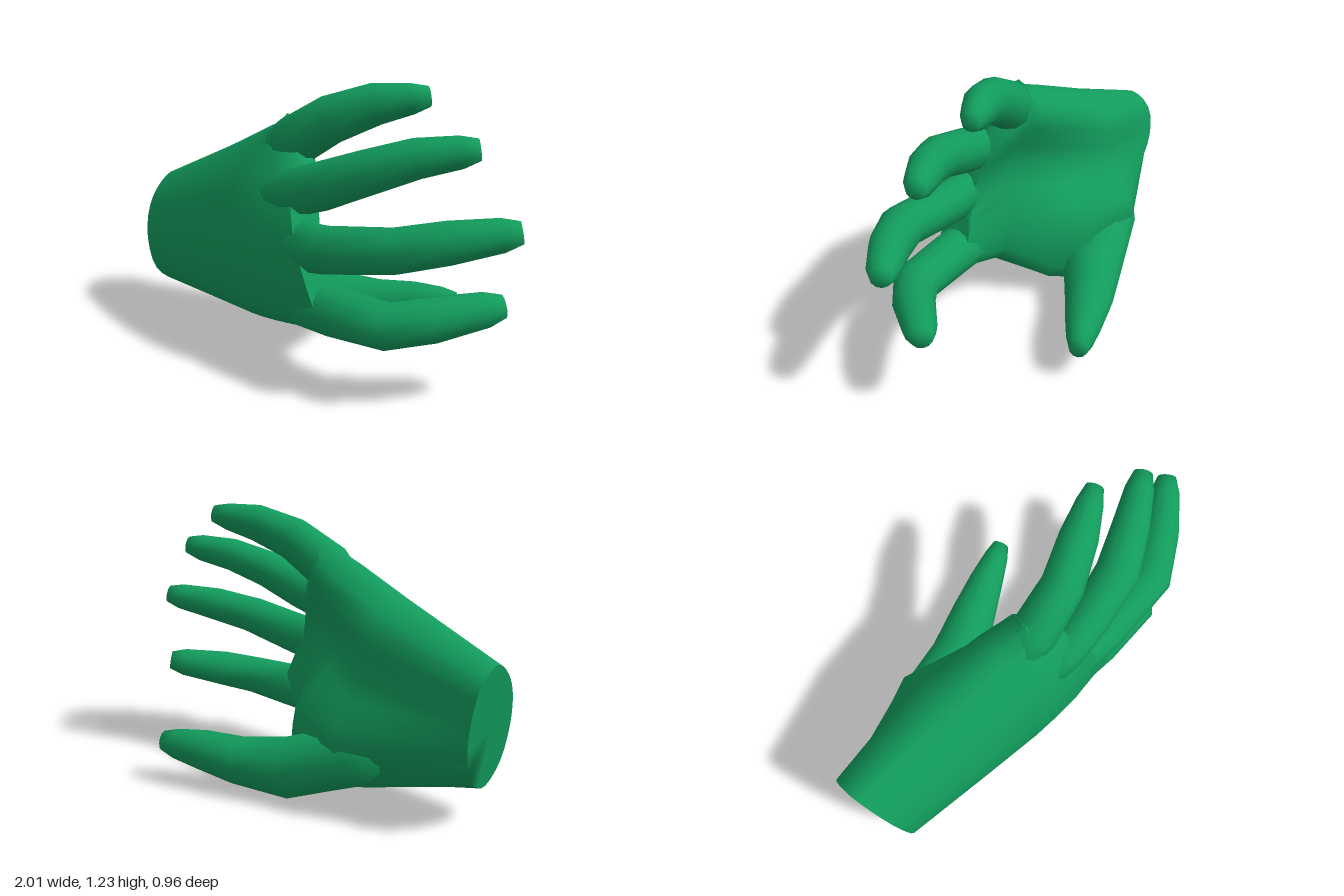
import * as THREE from 'three';
import { toCreasedNormals } from 'three/addons/utils/BufferGeometryUtils.js';

// Skin a list of rings (arrays of Vector3, counter-clockwise about the travel direction), closing both ends
function loft(rings, crease) {
  const pos = [];
  const n = rings[0].length;
  const tri = (...pts) => pts.forEach((p) => pos.push(p.x, p.y, p.z));
  const centre = (ring) => ring.reduce((s, p) => s.add(p), new THREE.Vector3()).divideScalar(n);
  const first = rings[0];
  const last = rings[rings.length - 1];
  const c0 = centre(first);
  const c1 = centre(last);
  for (let j = 0; j < n; j++) {
    const k = (j + 1) % n;
    for (let i = 0; i < rings.length - 1; i++) {
      const a = rings[i][j], b = rings[i][k], c = rings[i + 1][k], d = rings[i + 1][j];
      tri(a, b, d);
      tri(b, c, d);
    }
    tri(c0, first[k], first[j]);
    tri(c1, last[j], last[k]);
  }
  const geo = new THREE.BufferGeometry();
  geo.setAttribute('position', new THREE.Float32BufferAttribute(pos, 3));
  return toCreasedNormals(geo, crease);
}

// Station beyond a, on the line from b through a, with scaled radii
function extend(a, b, dist, scale) {
  const p = new THREE.Vector3(...a);
  p.addScaledVector(p.clone().sub(new THREE.Vector3(...b)).normalize(), dist);
  return [p.x, p.y, p.z, a[3] * scale, a[4] * scale];
}

// A digit from stations [x, y, z, half height, half depth], with a tapered root inside the palm and a blunt tip
function digit(joints, sides = 12) {
  const root = extend(joints[0], joints[1], 0.17, 0.55);
  const tip = extend(joints[joints.length - 1], joints[joints.length - 2], 0.07, 0.66);
  const stations = [root, ...joints, tip];
  const centres = stations.map((s) => new THREE.Vector3(s[0], s[1], s[2]));
  const rings = stations.map((s, i) => {
    const t = centres[Math.min(i + 1, centres.length - 1)].clone()
      .sub(centres[Math.max(i - 1, 0)]).normalize();
    const u = new THREE.Vector3(0, 1, 0).addScaledVector(t, -t.y).normalize();
    const v = new THREE.Vector3().crossVectors(t, u);
    return Array.from({ length: sides }, (_, j) => {
      const a = (j / sides) * Math.PI * 2;
      return centres[i].clone()
        .addScaledVector(u, Math.cos(a) * s[3])
        .addScaledVector(v, Math.sin(a) * s[4]);
    });
  });
  return loft(rings, 1.6);
}

// Palm cross-sections: [y, z] points from the index edge over the back to the little-finger edge and round the palm.
// Each section is a plane at x, tilted by ly along y and lz along z.
const palmSections = [
  { x: -0.95, ly: -0.15, lz: 0.25, pts: [[.16, .34], [.24, .44], [.4, .47], [.55, .43], [.65, .34], [.69, .24], [.62, .14], [.47, .11], [.32, .14], [.19, .24]] },
  { x: -0.5, ly: 0, lz: 0, pts: [[.16, .33], [.26, .44], [.42, .475], [.61, .455], [.78, .37], [.885, .22], [.78, .05], [.56, .01], [.32, -.14], [.1, .04]] },
  { x: -0.2, ly: 0, lz: 0, pts: [[.14, .28], [.25, .42], [.42, .475], [.66, .45], [.87, .37], [1.01, .22], [.9, .08], [.62, .14], [.38, -.07], [.05, -.04]] },
  { x: -0.07, ly: -0.05, lz: 0, pts: [[.16, .28], [.25, .41], [.42, .465], [.67, .445], [.89, .36], [1.05, .22], [.94, .1], [.66, .19], [.36, .02], [.11, .03]] },
  { x: 0.04, ly: -0.2, lz: 0, pts: [[.2, .3], [.26, .4], [.42, .45], [.68, .43], [.9, .34], [1.08, .22], [.97, .11], [.68, .22], [.42, .17], [.23, .2]] },
  { x: 0.24, ly: -0.4, lz: 0, pts: [[.25, .3], [.29, .37], [.43, .4], [.65, .4], [.82, .35], [.96, .25], [.86, .2], [.64, .26], [.42, .23], [.29, .23]] },
];

function palmGeometry() {
  const rings = palmSections.map(({ x, ly, lz, pts }) => {
    const loop = pts.map(([y, z]) => new THREE.Vector3(x + ly * (y - 0.5) + lz * (z - 0.3), y, z)).reverse();
    const curve = new THREE.CatmullRomCurve3(loop, true);
    return Array.from({ length: 30 }, (_, j) => curve.getPoint(j / 30));
  });
  return loft(rings, 1.2);
}

const digits = {
  indexFinger: [
    [.12, .32, .31, .105, .1], [.32, .325, .295, .105, .105], [.58, .33, .255, .092, .105],
    [.7, .36, .13, .09, .09], [.82, .395, -.04, .07, .07],
  ],
  middleFinger: [
    [.14, .57, .34, .11, .085], [.3, .585, .32, .1, .095], [.62, .645, .26, .09, .1],
    [.78, .69, .14, .085, .085], [.92, .725, .01, .066, .066],
  ],
  ringFinger: [
    [.05, .77, .325, .1, .085], [.22, .825, .285, .1, .09], [.42, .905, .22, .09, .095],
    [.58, .97, .11, .08, .08], [.71, 1.0, .01, .064, .062],
  ],
  littleFinger: [
    [-.04, .96, .225, .11, .1], [.15, 1.075, .17, .1, .09],
    [.31, 1.145, .07, .085, .08], [.43, 1.17, -.01, .062, .057],
  ],
  thumb: [
    [-.5, .25, .0, .13, .13], [-.2, .135, -.12, .135, .14],
    [.0, .14, -.255, .105, .11], [.15, .165, -.345, .09, .085], [.26, .175, -.41, .07, .062],
  ],
};

export function createModel() {
  const group = new THREE.Group();
  group.name = 'hand';
  const material = new THREE.MeshStandardMaterial({ color: 0x129c5c });
  const add = (name, geometry) => {
    const mesh = new THREE.Mesh(geometry, material);
    mesh.name = name;
    group.add(mesh);
  };
  add('palm', palmGeometry());
  for (const [name, joints] of Object.entries(digits)) add(name, digit(joints));
  return group;
}
